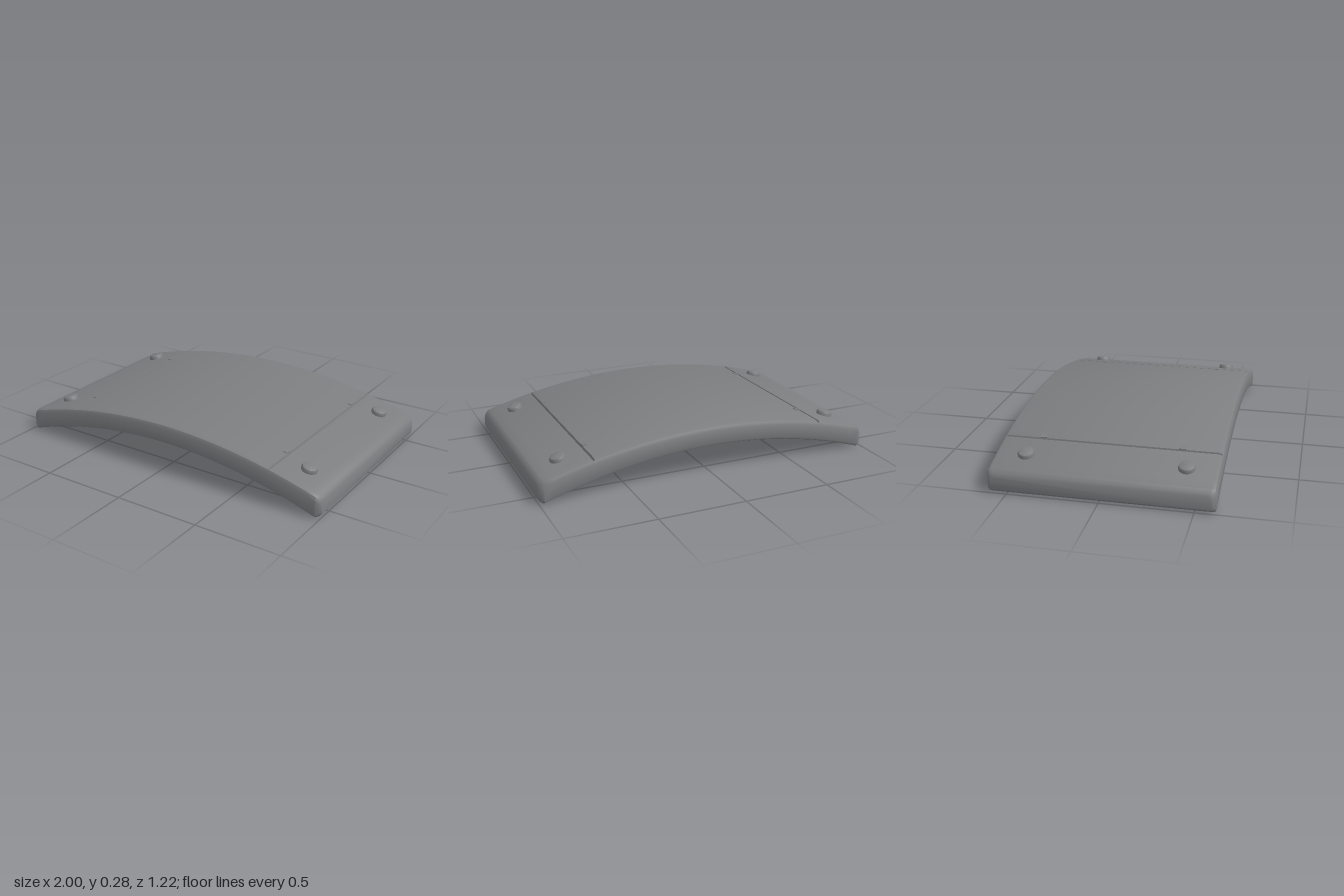
import * as THREE from 'three';
import { toCreasedNormals } from 'three/addons/utils/BufferGeometryUtils.js';

const HALF_DEPTH = 0.612;
const topY = x => 0.28 - 0.16 * x * x;
const bottomY = x => 0.165 - 0.174 * x * x;

// Rounded cross-section in the y-z plane, running from the front top edge round to the back
function section(x, top, bottom, depth, groove) {
  const a = 0.026, b = 0.018; // top and bottom edge bevels
  const half = [
    [bottom, depth - b],
    [bottom + b * 0.35, depth - b * 0.3],
    [bottom + b, depth],
    [top - a, depth],
    [top - a * 0.3, depth - a * 0.35],
    [top - groove, depth - a],
  ];
  const back = half.map(([y, z]) => [y, -z]).reverse();
  return [...half, ...back].map(([y, z]) => new THREE.Vector3(x, y, z));
}

// Arched slab lofted along x, with two cut seams and chamfered ends
function plateGeometry() {
  const stations = [];
  const steps = 36;
  for (let i = 0; i <= steps; i++) {
    const x = -0.972 + 1.944 * i / steps;
    if (Math.abs(Math.abs(x) - 0.695) > 0.015) stations.push({ x, groove: 0 });
  }
  for (const s of [-1, 1]) {
    for (const [x, groove] of [[0.688, 0], [0.691, 0.014], [0.699, 0.014], [0.702, 0]]) {
      stations.push({ x: s * x, groove });
    }
    stations.push({ x: s * 0.99, groove: 0, inset: 0.01 }, { x: s, groove: 0, inset: 0.022 });
  }
  stations.sort((p, q) => p.x - q.x);

  const rings = stations.map(({ x, groove, inset = 0 }) =>
    section(x, topY(x) - inset, Math.max(bottomY(x), 0) + inset, HALF_DEPTH - inset, groove));
  const points = [];
  const tri = (a, b, c) => [a, b, c].forEach(p => points.push(p.x, p.y, p.z));
  const n = rings[0].length;
  for (let i = 0; i < rings.length - 1; i++) {
    for (let j = 0; j < n; j++) {
      const k = (j + 1) % n;
      const [a, b, c, d] = [rings[i][j], rings[i + 1][j], rings[i + 1][k], rings[i][k]];
      tri(a, b, c);
      tri(a, c, d);
    }
  }
  // End faces
  const first = rings[0], last = rings[rings.length - 1];
  for (let j = 1; j < n - 1; j++) {
    tri(first[0], first[j], first[j + 1]);
    tri(last[0], last[j + 1], last[j]);
  }
  const g = new THREE.BufferGeometry();
  g.setAttribute('position', new THREE.Float32BufferAttribute(points, 3));
  return toCreasedNormals(g, 0.6);
}

export function createModel() {
  const model = new THREE.Group();
  model.name = 'archedPlate';
  const metal = new THREE.MeshStandardMaterial({ color: 0x7c7e80 });
  metal.name = 'grey metal';

  function add(name, geometry) {
    const mesh = new THREE.Mesh(geometry, metal);
    mesh.name = name;
    model.add(mesh);
    return mesh;
  }

  add('plate', plateGeometry());

  // Low domed stud, base sunk into the plate
  const studProfile = [[0.044, -0.02], [0.046, 0.012], [0.041, 0.022], [0.028, 0.027], [0, 0.029]]
    .map(([r, y]) => new THREE.Vector2(r, y));
  const studGeometry = toCreasedNormals(new THREE.LatheGeometry(studProfile, 24), 0.7);
  const tabGeometry = new THREE.BoxGeometry(0.024, 0.008, 0.036);

  // Fittings follow the slope of the arch
  function place(mesh, x, z) {
    mesh.position.set(x, topY(x), z);
    mesh.rotation.z = Math.atan(-0.32 * x);
  }
  for (const sx of [-1, 1]) {
    for (const sz of [-1, 1]) {
      const where = (sz > 0 ? 'Front' : 'Back') + (sx > 0 ? 'Left' : 'Right');
      place(add('stud' + where, studGeometry), sx * 0.84, sz * 0.435);
      place(add('seamTab' + where, tabGeometry), sx * 0.675, sz * 0.385);
    }
  }
  return model;
}
